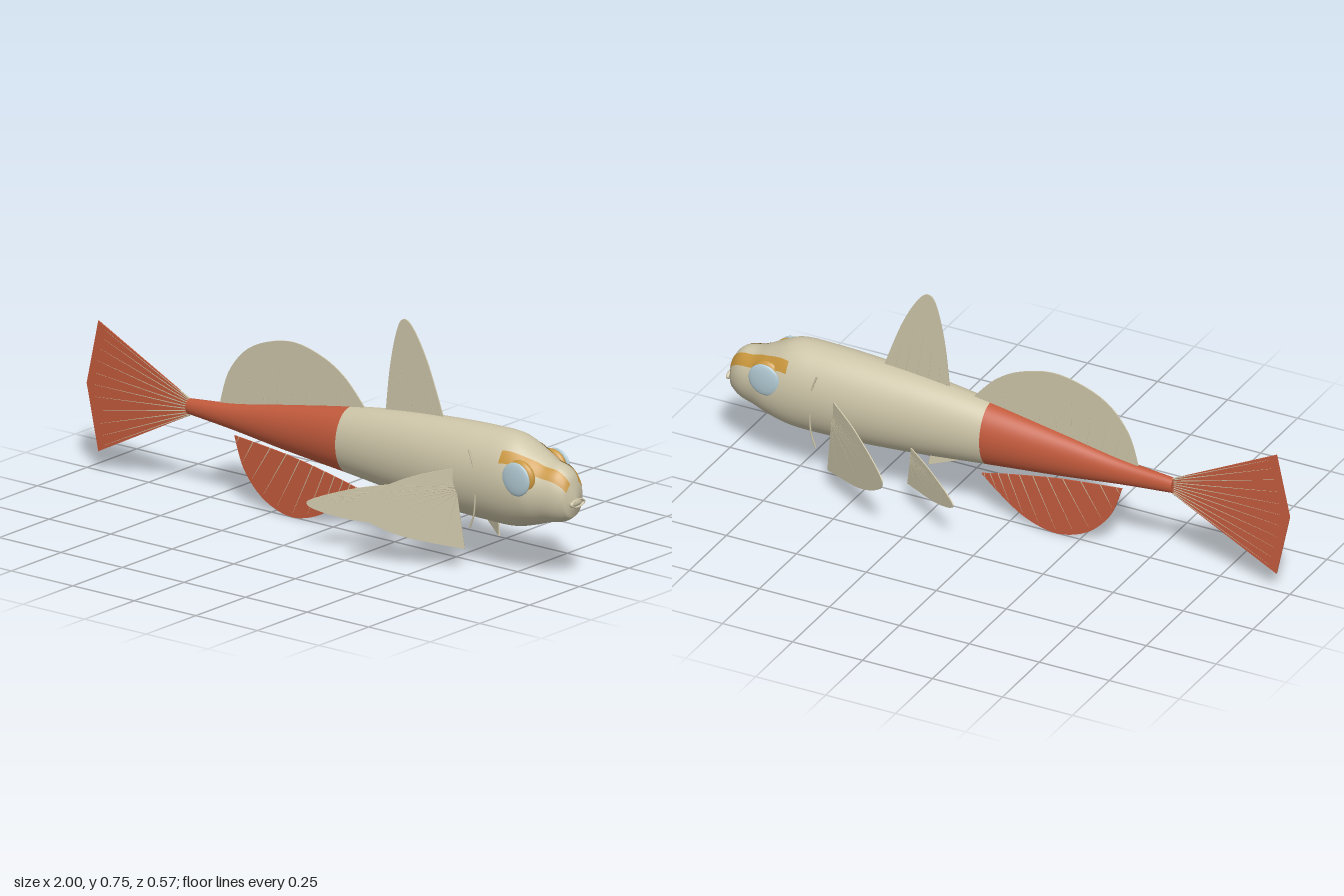
import * as THREE from 'three';

const mat = (name, color, double) => {
  const m = new THREE.MeshStandardMaterial({ color, side: double ? THREE.DoubleSide : THREE.FrontSide });
  m.name = name;
  return m;
};

// Body sections from tail to snout: x, top, bottom, half width
const SECTIONS = [
  [-0.585, 0.313, 0.262, 0.02], [-0.4, 0.332, 0.245, 0.031], [-0.2, 0.368, 0.222, 0.049],
  [0.07, 0.415, 0.197, 0.077], [0.3, 0.445, 0.174, 0.096], [0.5, 0.46, 0.16, 0.108],
  [0.65, 0.466, 0.156, 0.111], [0.76, 0.462, 0.158, 0.109], [0.84, 0.425, 0.178, 0.1],
  [0.89, 0.4, 0.195, 0.084], [0.94, 0.39, 0.206, 0.068], [0.968, 0.367, 0.221, 0.052],
  [0.983, 0.335, 0.24, 0.036], [0.988, 0.29, 0.28, 0.004],
];

// Smooth interpolation between neighbouring sections
function section(x) {
  const n = SECTIONS.length;
  let i = 0;
  while (i < n - 2 && x > SECTIONS[i + 1][0]) i++;
  const a = SECTIONS[i], b = SECTIONS[i + 1];
  const p = SECTIONS[Math.max(i - 1, 0)], q = SECTIONS[Math.min(i + 2, n - 1)];
  const h = b[0] - a[0], t = (x - a[0]) / h;
  return [1, 2, 3].map((k) => {
    const ma = ((b[k] - p[k]) / (b[0] - p[0])) * h, mb = ((q[k] - a[k]) / (q[0] - a[0])) * h;
    const t2 = t * t, t3 = t2 * t;
    return (2 * t3 - 3 * t2 + 1) * a[k] + (t3 - 2 * t2 + t) * ma + (3 * t2 - 2 * t3) * b[k] + (t3 - t2) * mb;
  });
}

// Skin between x0 and x1; lo and hi give the angle range at x (0 = +z, PI/2 = up)
function skin(x0, x1, rows, cols, lift = 0, lo = () => 0, hi = () => Math.PI * 2, closed = true) {
  const pos = [], index = [], stride = closed ? cols : cols + 1;
  for (let i = 0; i <= rows; i++) {
    const x = x0 + ((x1 - x0) * i) / rows;
    const [top, bottom, w] = section(x);
    for (let j = 0; j < stride; j++) {
      const a = lo(x) + ((hi(x) - lo(x)) * j) / cols;
      pos.push(x, (top + bottom) / 2 + ((top - bottom) / 2 + lift) * Math.sin(a), (w + lift) * Math.cos(a));
    }
  }
  for (let i = 0; i < rows; i++) {
    for (let j = 0; j < cols; j++) {
      const a = i * stride + j, b = i * stride + ((j + 1) % stride);
      index.push(a, a + stride, b, b, a + stride, b + stride);
    }
  }
  const g = new THREE.BufferGeometry();
  g.setAttribute('position', new THREE.Float32BufferAttribute(pos, 3));
  g.setIndex(index);
  g.computeVertexNormals();
  return g;
}

const spline = (pts) => new THREE.SplineCurve(pts.map(([x, y]) => new THREE.Vector2(x, y)));

// Flat fin between a base curve and an outer edge, with rays running from one to the other
function makeFin(name, basePts, edgePts, rays, finMat, rayMat, seg = 32) {
  const g = new THREE.Group();
  g.name = name;
  const base = spline(basePts), edge = spline(edgePts), depth = 0.004;
  const shape = new THREE.Shape([...edge.getPoints(seg), ...base.getPoints(12).reverse()]);
  const geo = new THREE.ExtrudeGeometry(shape, { depth, bevelEnabled: false }).translate(0, 0, -depth / 2);
  const web = new THREE.Mesh(geo, finMat);
  web.name = name + 'Web';
  g.add(web);
  for (let i = 0; i < rays; i++) {
    const t = (i + 0.5) / rays;
    const a = base.getPoint(t), b = a.clone().lerp(edge.getPoint(t), 0.92), d = b.clone().sub(a);
    const ray = new THREE.Mesh(new THREE.CylinderGeometry(0.0022, 0.003, d.length(), 6), rayMat);
    ray.name = name + 'Ray';
    ray.position.set((a.x + b.x) / 2, (a.y + b.y) / 2, 0);
    ray.rotation.z = Math.atan2(d.y, d.x) - Math.PI / 2;
    g.add(ray);
  }
  return g;
}

export function createModel() {
  const group = new THREE.Group();
  const beige = mat('beige skin', 0xcdc5a8);
  const red = mat('rust red', 0xc25a3c);
  const gold = mat('gold', 0xc8963c, true);
  const blue = mat('pale blue', 0xb2cad4);
  const add = (name, geo, material, parent = group) => {
    const m = new THREE.Mesh(geo, material);
    m.name = name;
    parent.add(m);
    return m;
  };

  // Body in two colours
  add('rearBody', skin(-0.585, 0.07, 32, 48), red);
  add('frontBody', skin(0.07, 0.988, 90, 48), beige);
  const cap = add('tailCap', new THREE.CircleGeometry(1, 32).scale(0.02, 0.0255, 1), red);
  cap.rotation.y = -Math.PI / 2;
  cap.position.set(-0.585, 0.2875, 0);

  // Mouth
  const mouth = add('mouth', new THREE.TorusGeometry(0.03, 0.006, 10, 40).scale(1, 0.4, 1), beige);
  mouth.rotation.y = Math.PI / 2;
  mouth.position.set(0.993, 0.277, 0);
  const lips = add('lips', new THREE.SphereGeometry(1, 24, 12), beige);
  lips.scale.set(0.01, 0.012, 0.03);
  lips.position.set(0.985, 0.277, 0);

  // Fins on the centre line
  group.add(makeFin('firstDorsalFin', [[0.215, 0.42], [0.45, 0.44]],
    [[0.215, 0.43], [0.232, 0.58], [0.258, 0.7], [0.285, 0.747], [0.325, 0.725], [0.385, 0.62], [0.45, 0.45]],
    7, beige, beige));
  group.add(makeFin('secondDorsalFin', [[-0.46, 0.315], [-0.2, 0.35], [0.13, 0.41]],
    [[-0.46, 0.32], [-0.42, 0.44], [-0.33, 0.535], [-0.18, 0.582], [-0.05, 0.56], [0.05, 0.505], [0.135, 0.415]],
    12, beige, beige));
  group.add(makeFin('analFin', [[-0.4, 0.227], [-0.18, 0.204], [0, 0.172], [0.1, 0.15]],
    [[-0.4, 0.225], [-0.36, 0.12], [-0.28, 0.038], [-0.17, 0.002], [-0.06, 0.028], [0.03, 0.088], [0.1, 0.148]],
    11, red, beige));
  group.add(makeFin('tailFin', [[-0.58, 0.312], [-0.58, 0.258]],
    [[-0.953, 0.498], [-1, 0.283], [-0.953, 0.065]], 11, red, beige, 2));

  // Paired fins, drawn around their root and swung out from the body
  const pairedEdge = [[0.015, 0.068], [-0.11, 0.04], [-0.21, 0.002], [-0.285, -0.035], [-0.318, -0.066],
    [-0.285, -0.108], [-0.16, -0.163], [0.042, -0.2]];
  for (const side of [1, -1]) {
    const word = side > 0 ? 'left' : 'right';
    for (const [name, x, y, z, sx, sy] of [
      ['PectoralFin', 0.57, 0.27, 0.11, 1, 1], ['PelvicFin', 0.3, 0.19, 0.088, 0.83, 0.52],
    ]) {
      const fin = makeFin(word + name, [[0.014, 0.012], [0.018, -0.018]],
        pairedEdge.map(([u, v]) => [u * sx, v * sy]), 9, beige, beige);
      fin.position.set(x, y, side * z);
      fin.rotation.y = side * 0.585;
      group.add(fin);
    }

    // Eye: gold socket with a pale lens
    const socket = add(word + 'EyeSocket', new THREE.SphereGeometry(1, 32, 20), gold);
    socket.scale.set(0.058, 0.058, 0.022);
    socket.position.set(0.825, 0.347, side * 0.08);
    const lens = add(word + 'EyeLens', new THREE.SphereGeometry(1, 32, 20), blue);
    lens.scale.set(0.055, 0.055, 0.011);
    lens.position.set(0.825, 0.347, side * 0.102);

    // Gold band running past the eye to the snout
    const lo = (x) => 0.5 + 0.12 * Math.sin(((x - 0.75) / 0.23) * Math.PI);
    const hi = (x) => 0.8 + 0.28 * Math.min(1, (x - 0.75) / 0.12);
    add(word + 'FaceBand', side > 0
      ? skin(0.75, 0.98, 40, 8, 0.0025, lo, hi, false)
      : skin(0.75, 0.98, 40, 8, 0.0025, (x) => Math.PI - hi(x), (x) => Math.PI - lo(x), false), gold);

    // Gill cover edge
    const gill = new THREE.CatmullRomCurve3([[0.635, 0.41], [0.652, 0.36], [0.66, 0.28], [0.656, 0.2], [0.64, 0.152]]
      .map(([x, y]) => new THREE.Vector3(x, y, side * 0.104)));
    add(word + 'GillEdge', new THREE.TubeGeometry(gill, 32, 0.003, 6), beige);
  }
  return group;
}
